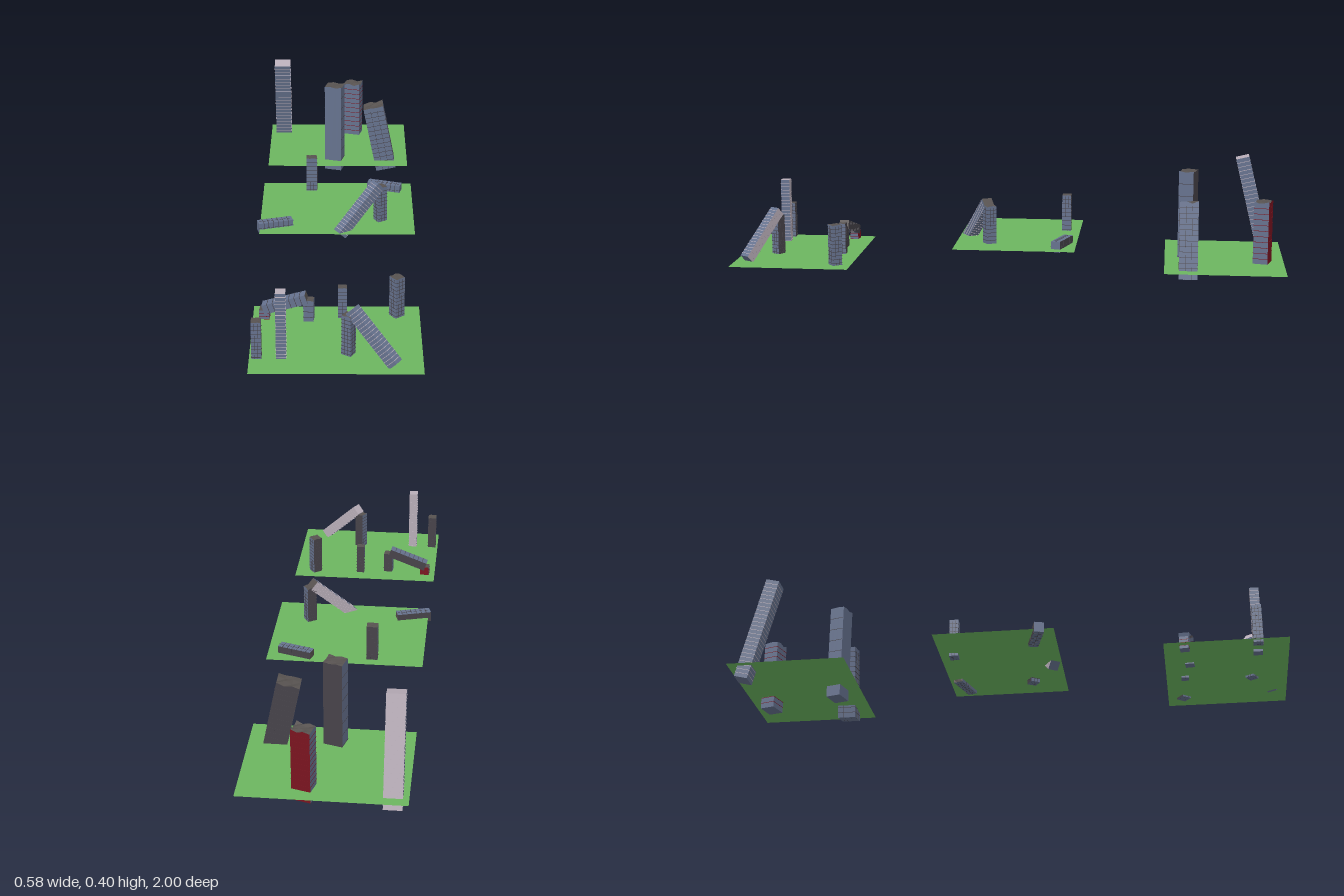
import * as THREE from 'three';
import { mergeGeometries } from 'three/addons/utils/BufferGeometryUtils.js';

const mat = (color, extra = {}) => new THREE.MeshStandardMaterial({ color, flatShading: true, ...extra });
const glass = mat(0x66728e);
const lightConcrete = mat(0xb9aeb9);
const darkConcrete = mat(0x47434a);
const rubbleRoof = mat(0x575250);
const redSteel = mat(0x7a1420);
const grass = mat(0x6cb55f, { side: THREE.DoubleSide });

const bar = (w, h, d, x, y, z) => new THREE.BoxGeometry(w, h, d).translate(x, y, z);

// One high-rise: glazed body, roof, floor bands and optional mullions.
// Centre position, size, heading about y, then lean about z (or x).
function tower(name, { pos, size, heading = 0, lean = 0, pitch = 0, trim = darkConcrete,
  roof = rubbleRoof, jag = 0, floor = 0.018, mullions = 0, blankFront = false }) {
  const [w, h, d] = size;
  const group = new THREE.Group();
  group.name = name;

  // Body, with a broken roof line when jag is set
  const body = new THREE.BoxGeometry(w, h, d, 3, 1, 3);
  const p = body.attributes.position;
  for (let i = 0; i < p.count; i++) {
    if (p.getY(i) < 0) continue;
    const n = Math.sin(p.getX(i) / w * 9 + 1) * Math.cos(p.getZ(i) / d * 7 + w * 90);
    p.setY(i, h / 2 + jag * n);
  }
  body.computeVertexNormals();
  const bodyMesh = new THREE.Mesh(body, [glass, glass, roof, glass, glass, trim]);
  bodyMesh.name = 'glazedBody';
  group.add(bodyMesh);

  // Floor bands and upright mullions standing just proud of the glass
  const e = 0.0012, parts = [];
  const floors = Math.round(h / floor);
  for (let i = 1; i < floors; i++) {
    parts.push(bar(w + e, 0.0018, d + (blankFront ? -e : e), 0, -h / 2 + i * h / floors, 0));
  }
  const uprightH = h - 2 * jag;
  for (let i = 1; i <= mullions; i++) {
    const t = i / (mullions + 1) - 0.5;
    parts.push(bar(0.0012, uprightH, d + e, t * w, -jag, 0));
    parts.push(bar(w + e, uprightH, 0.0012, 0, -jag, t * d));
  }
  if (parts.length) {
    const bands = new THREE.Mesh(mergeGeometries(parts), trim);
    bands.name = 'floorBands';
    group.add(bands);
  }

  group.position.set(...pos);
  group.rotation.set(pitch, heading, lean, 'YZX');
  return group;
}

function district(name, y, z, depth, towers) {
  const group = new THREE.Group();
  group.name = name;
  const ground = new THREE.Mesh(new THREE.PlaneGeometry(0.565, depth).rotateX(-Math.PI / 2), grass);
  ground.name = 'grassPlate';
  ground.position.set(0.005, y, z);
  group.add(ground);
  for (const [towerName, options] of Object.entries(towers)) group.add(tower(towerName, options));
  return group;
}

export function createModel() {
  const model = new THREE.Group();
  model.name = 'ruinedCity';
  const light = { trim: lightConcrete, roof: lightConcrete, floor: 0.013 };

  // Back plate: four large towers, two of them leaning
  model.add(district('backDistrict', 0.056, -0.785, 0.43, {
    forwardLeaningTower: { pos: [-0.225, 0.202, -0.902], size: [0.064, 0.395, 0.05], pitch: 0.242,
      ...light, floor: 0.016 },
    redBandedTower: { pos: [0.068, 0.147, -0.922], size: [0.067, 0.268, 0.054], heading: -0.27,
      trim: redSteel, jag: 0.007, floor: 0.02 },
    blankFrontTower: { pos: [-0.008, 0.195, -0.652], size: [0.068, 0.361, 0.055], heading: -0.27,
      jag: 0.004, floor: 0.045, blankFront: true },
    sideLeaningTower: { pos: [0.175, 0.153, -0.655], size: [0.08, 0.275, 0.066], lean: 0.2,
      jag: 0.007, floor: 0.02, mullions: 2 },
  }));

  // Middle plate: a standing tower, two toppled ones and a propped pair
  model.add(district('middleDistrict', 0.127, -0.036, 0.435, {
    standingTower: { pos: [-0.093, 0.189, -0.202], size: [0.04, 0.145, 0.033],
      jag: 0.002, floor: 0.016, mullions: 2 },
    rightToppledTower: { pos: [0.185, 0.135, -0.203], size: [0.038, 0.128, 0.035],
      heading: -0.3, lean: Math.PI / 2, jag: 0.002, mullions: 1 },
    leftToppledTower: { pos: [-0.222, 0.131, 0.113], size: [0.038, 0.128, 0.035],
      heading: 0.28, lean: -Math.PI / 2, jag: 0.002, mullions: 1 },
    fallenTower: { pos: [0.085, 0.194, 0.11], size: [0.038, 0.23, 0.038],
      heading: 0.56, lean: -0.81, ...light, roof: rubbleRoof },
    proppingTower: { pos: [0.163, 0.188, 0.06], size: [0.036, 0.152, 0.036],
      heading: 0.56, jag: 0.003, floor: 0.014, mullions: 2 },
  }));

  // Front plate: small towers, a slumped bridge and a propped pair
  model.add(district('frontDistrict', 0.044, 0.78, 0.435, {
    tallThinTower: { pos: [-0.173, 0.16, 0.89], size: [0.033, 0.25, 0.033], ...light },
    cornerTower: { pos: [-0.253, 0.107, 0.89], size: [0.032, 0.143, 0.034],
      jag: 0.002, floor: 0.014, mullions: 2 },
    smallTower: { pos: [0.025, 0.098, 0.63], size: [0.03, 0.122, 0.027],
      jag: 0.002, floor: 0.014, mullions: 1 },
    turnedTower: { pos: [0.209, 0.115, 0.62], size: [0.037, 0.154, 0.037],
      heading: 0.65, jag: 0.002, floor: 0.014, mullions: 2 },
    bridgeSupport: { pos: [-0.088, 0.081, 0.65], size: [0.034, 0.083, 0.032],
      heading: -0.1, jag: 0.002, floor: 0.02 },
    slumpedBridge: { pos: [-0.168, 0.104, 0.642], size: [0.034, 0.155, 0.036],
      heading: -0.1, lean: -1.25, floor: 0.02 },
    bridgeStump: { pos: [-0.238, 0.055, 0.635], size: [0.034, 0.045, 0.032],
      heading: -0.1, trim: redSteel, floor: 0.012 },
    fallenTower: { pos: [0.126, 0.131, 0.911], size: [0.037, 0.225, 0.037],
      heading: -0.54, lean: 0.81, ...light },
    proppingTower: { pos: [0.045, 0.113, 0.87], size: [0.035, 0.152, 0.033],
      heading: -0.54, jag: 0.003, floor: 0.014, mullions: 2 },
  }));

  return model;
}
